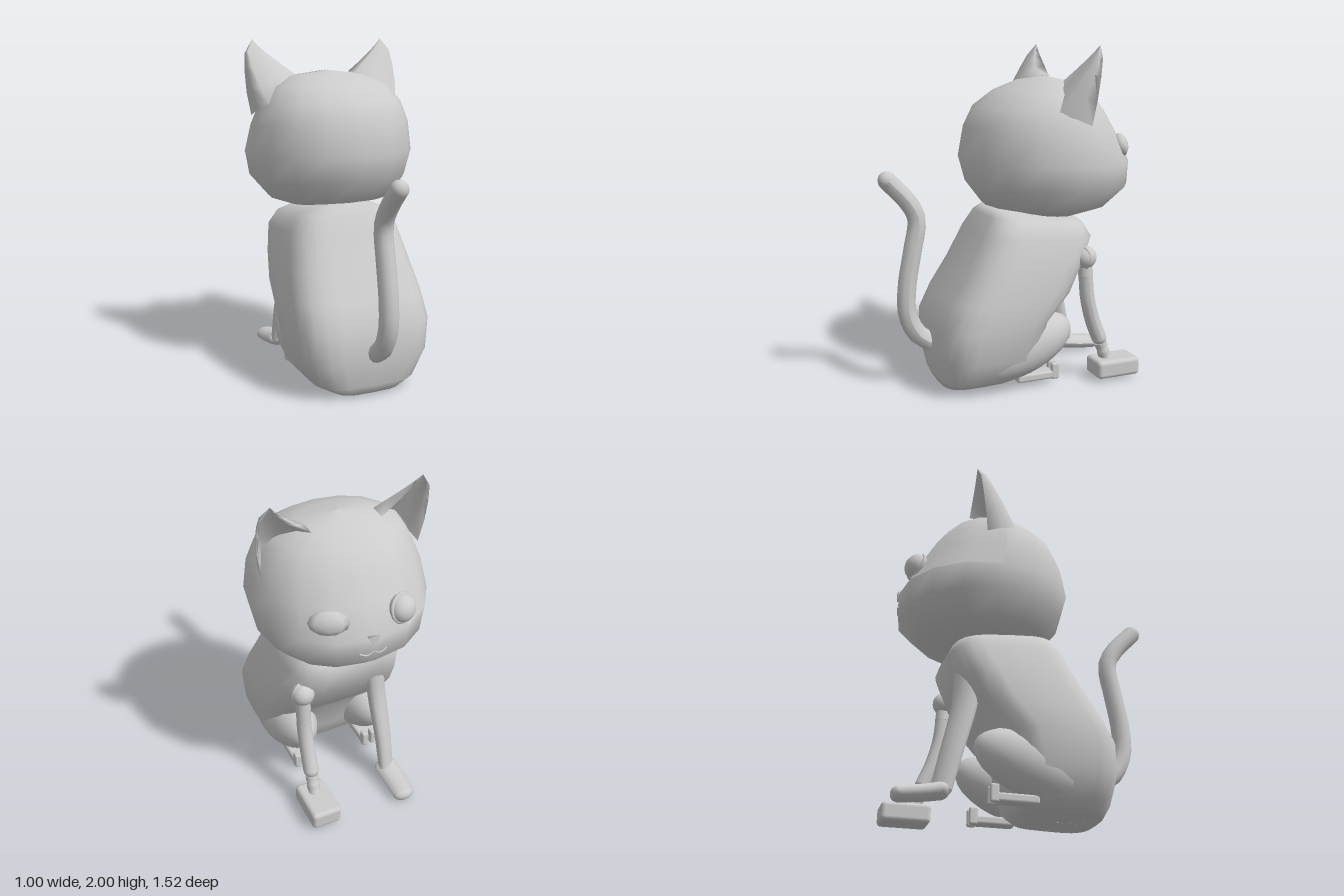
import * as THREE from 'three';
import { RoundedBoxGeometry } from 'three/addons/geometries/RoundedBoxGeometry.js';

const mat = new THREE.MeshStandardMaterial({ color: 0xcccccc, side: THREE.DoubleSide });
const V = (x, y, z) => new THREE.Vector3(x, y, z);

// Skin a grid of points: rows of equal length, optionally closed around
function skin(rows, closed) {
  const n = rows[0].length, pos = rows.flat().flatMap(p => [p.x, p.y, p.z]), idx = [];
  for (let i = 0; i < rows.length - 1; i++)
    for (let j = 0; j < (closed ? n : n - 1); j++) {
      const k = (j + 1) % n, a = i * n + j, b = i * n + k, c = b + n, d = a + n;
      idx.push(a, b, c, a, c, d);
    }
  const g = new THREE.BufferGeometry();
  g.setAttribute('position', new THREE.Float32BufferAttribute(pos, 3));
  g.setIndex(idx);
  g.computeVertexNormals();
  return g;
}

// Rounded ring: [yBack, yFront, halfWidth, zBack, zFront], power < 1 squares it
function ring([yb, yf, w, zb, zf], x0, power, from, to, n) {
  const out = [];
  const sq = v => Math.sign(v) * Math.abs(v) ** power;
  for (let j = 0; j < n; j++) {
    const a = from + (to - from) * j / n, s = sq(Math.sin(a)), c = sq(Math.cos(a));
    const t = (1 - c) / 2;
    out.push(V(x0 + w * s, yb + (yf - yb) * t, zb + (zf - zb) * t));
  }
  return out;
}

const bodyRows = [
  [0.02, 0.03, 0, 0.2, 0.2], [0.02, 0.03, 0.22, 0.43, -0.02], [0.07, 0.09, 0.32, 0.45, -0.08],
  [0.22, 0.22, 0.395, 0.48, -0.14], [0.4, 0.42, 0.418, 0.475, -0.19], [0.55, 0.58, 0.41, 0.405, -0.34],
  [0.72, 0.73, 0.385, 0.3, -0.42], [0.92, 0.88, 0.345, 0.2, -0.49], [1.02, 0.96, 0.29, 0.14, -0.45],
  [1.06, 1.0, 0.2, 0.11, -0.4], [1.06, 1.0, 0, -0.1, -0.1]];

const headRows = [
  [1.02, 1.0, 0, -0.25, -0.25], [1.03, 1.0, 0.22, -0.06, -0.42], [1.075, 1.06, 0.37, 0.125, -0.61],
  [1.2, 1.18, 0.47, 0.22, -0.745], [1.35, 1.32, 0.5, 0.26, -0.75], [1.53, 1.48, 0.475, 0.225, -0.665],
  [1.65, 1.61, 0.43, 0.165, -0.59], [1.74, 1.72, 0.355, 0.04, -0.51], [1.795, 1.785, 0.23, -0.1, -0.41],
  [1.82, 1.82, 0, -0.25, -0.25]];

// Tapering limb along a path with rounded ends; flat widens it along x turned by twist
function limb(points, r0, r1, flat = 1, twist = 0, sides = 12) {
  const curve = new THREE.CatmullRomCurve3(points.map(p => V(...p)));
  const axis = V(Math.cos(twist), 0, -Math.sin(twist));
  const g = new THREE.TubeGeometry(curve, 20, 1, sides), p = g.attributes.position;
  for (let i = 0; i < p.count; i++) {
    const u = Math.floor(i / (sides + 1)) / 20, c = curve.getPointAt(u);
    const d = V(0, 0, 0).fromBufferAttribute(p, i).sub(c).multiplyScalar(r0 + (r1 - r0) * u);
    d.addScaledVector(axis, d.dot(axis) * (flat - 1)).add(c);
    p.setXYZ(i, d.x, d.y, d.z);
  }
  g.computeVertexNormals();
  const group = new THREE.Group();
  group.add(new THREE.Mesh(g, mat));
  [[0, r0], [1, r1]].forEach(([u, r]) => {
    const cap = new THREE.Mesh(new THREE.SphereGeometry(r, sides, 8), mat);
    cap.position.copy(curve.getPoint(u));
    cap.scale.x = flat;
    cap.rotation.y = twist;
    group.add(cap);
  });
  return group;
}

// Cupped ear: an outer arc and a hollow inner arc, both drawn to one tip
function earGeometry(side) {
  const outer = [[0.46, 1.56, -0.33], [0.45, 1.6, -0.24], [0.41, 1.625, -0.145], [0.29, 1.73, -0.21], [0.2, 1.8, -0.28], [0.2, 1.8, -0.38]];
  const inner = [[0.24, 1.77, -0.29], [0.31, 1.72, -0.23], [0.4, 1.65, -0.19], [0.43, 1.61, -0.25]];
  const base = [...outer, ...inner].map(p => V(...p)), tip = V(0.425, 2, -0.39);
  const rows = [0, 0.3, 0.6, 0.82, 1].map((t, i) => base.map((p, j) => {
    const q = p.clone().lerp(tip, t), outerEdge = j < 3 || j > 7;
    q.x += (outerEdge ? [0, 0.03, 0.045, 0.045, 0] : [0, 0.01, 0.015, 0.01, 0])[i];
    q.x *= side;
    return q;
  }));
  return skin(side > 0 ? rows : rows.map(r => r.reverse()), true);
}

export function createModel() {
  const model = new THREE.Group();
  const add = (obj, name, x = 0, y = 0, z = 0) => {
    const o = obj.isObject3D ? obj : new THREE.Mesh(obj, mat);
    o.name = name;
    o.position.set(x, y, z);
    model.add(o);
    return o;
  };

  // Body and head
  add(skin(bodyRows.map(r => ring(r, -0.025, 0.54, 0, Math.PI * 2, 24)), true), 'body');
  add(skin(headRows.map(r => ring(r, 0, 0.95, 0, Math.PI * 2, 16)), true), 'head');

  // Slightly raised plate over one quarter of the head
  const plateRows = headRows.slice(4).map(r => ring(r, 0, 0.95, Math.PI * 1.125, Math.PI * 1.625, 4));
  const grow = V(0, 1.35, -0.25);
  plateRows.flat().forEach(p => p.sub(grow).multiplyScalar(1.005).add(grow));
  add(skin(plateRows, false), 'headPlate');

  for (const s of [-1, 1]) {
    add(earGeometry(s), s > 0 ? 'leftEar' : 'rightEar');

    // Haunch blended into the flank
    const thigh = add(new THREE.SphereGeometry(1, 20, 14), 'haunch', -0.025 + s * 0.235, 0.25, 0);
    thigh.scale.set(0.155, 0.17, 0.35);
    thigh.rotation.x = 0.33;

    // Hind foot with two toes
    const x = -0.025 + s * 0.235;
    add(new RoundedBoxGeometry(0.09, 0.05, 0.24, 2, 0.015), 'hindFoot', x, 0.06, -0.1);
    for (const t of [-1, 1])
      add(new RoundedBoxGeometry(0.035, 0.1, 0.05, 2, 0.012), 'hindToe', x + t * 0.028, 0.08, -0.225);
  }

  // Tail
  add(limb([[-0.025, 0.265, 0.45], [-0.025, 0.32, 0.54], [-0.025, 0.45, 0.605], [-0.025, 0.62, 0.605],
    [-0.025, 0.82, 0.57], [-0.025, 1.02, 0.54], [-0.025, 1.12, 0.59], [-0.025, 1.25, 0.71]], 0.057, 0.053), 'tail');

  // Natural front leg, a flattened blade set diagonally, and its paw
  add(limb([[-0.2, 0.86, -0.36], [-0.22, 0.6, -0.38], [-0.24, 0.3, -0.45], [-0.245, 0.09, -0.5]],
    0.055, 0.042, 1.6, Math.PI / 4), 'frontLeg');
  add(limb([[-0.245, 0.08, -0.5], [-0.25, 0.06, -0.6], [-0.25, 0.045, -0.72]], 0.046, 0.041, 1.6), 'frontPaw');

  // Mechanical front leg: ball joint, collar, shin, ribbed ankle and block foot
  add(new THREE.SphereGeometry(0.068, 20, 14), 'shoulderBall', 0.268, 0.77, -0.4);
  const cuff = add(new THREE.TorusGeometry(0.064, 0.012, 8, 20), 'shoulderRing', 0.268, 0.77, -0.38);
  cuff.rotation.y = 0.4;
  add(new THREE.CylinderGeometry(0.04, 0.045, 0.06, 16), 'shoulderCollar', 0.268, 0.69, -0.405);
  add(limb([[0.268, 0.67, -0.405], [0.268, 0.52, -0.42], [0.265, 0.37, -0.46], [0.265, 0.26, -0.505]],
    0.042, 0.046, 1, 0, 16), 'mechanicalLeg');
  for (let i = 0; i < 4; i++) {
    const rib = add(new THREE.CylinderGeometry(0.038 - (i % 2) * 0.006, 0.038, 0.03, 16), 'ankleRib',
      0.265, 0.215 - i * 0.028, -0.52 - i * 0.01);
    rib.rotation.x = 0.35;
  }
  add(new RoundedBoxGeometry(0.18, 0.11, 0.28, 3, 0.025), 'blockFoot', 0.265, 0.075, -0.605);

  // Round mechanical eye with rim
  const eye = new THREE.Group();
  const dome = new THREE.Mesh(new THREE.SphereGeometry(0.078, 20, 14), mat);
  dome.scale.z = 0.85;
  eye.add(dome, new THREE.Mesh(new THREE.TorusGeometry(0.077, 0.01, 8, 24), mat));
  add(eye, 'roundEye', -0.18, 1.42, -0.68).rotation.set(0.3, 0.35, 0);

  // Almond eye
  const almond = add(new THREE.SphereGeometry(1, 8, 6), 'almondEye', 0.225, 1.42, -0.645);
  almond.scale.set(0.11, 0.07, 0.045);
  almond.rotation.set(0.3, -0.42, 0.1);

  // Nose and mouth
  const nose = add(new THREE.CylinderGeometry(0.04, 0.04, 0.02, 3), 'nose', 0.015, 1.32, -0.743);
  nose.rotation.x = Math.PI / 2;
  for (const s of [-1, 1])
    add(new THREE.TubeGeometry(new THREE.CatmullRomCurve3([V(0.01, 1.24, -0.746), V(0.01 + s * 0.04, 1.22, -0.74),
      V(0.01 + s * 0.08, 1.235, -0.732)]), 8, 0.006, 6), 'mouth');
  return model;
}
